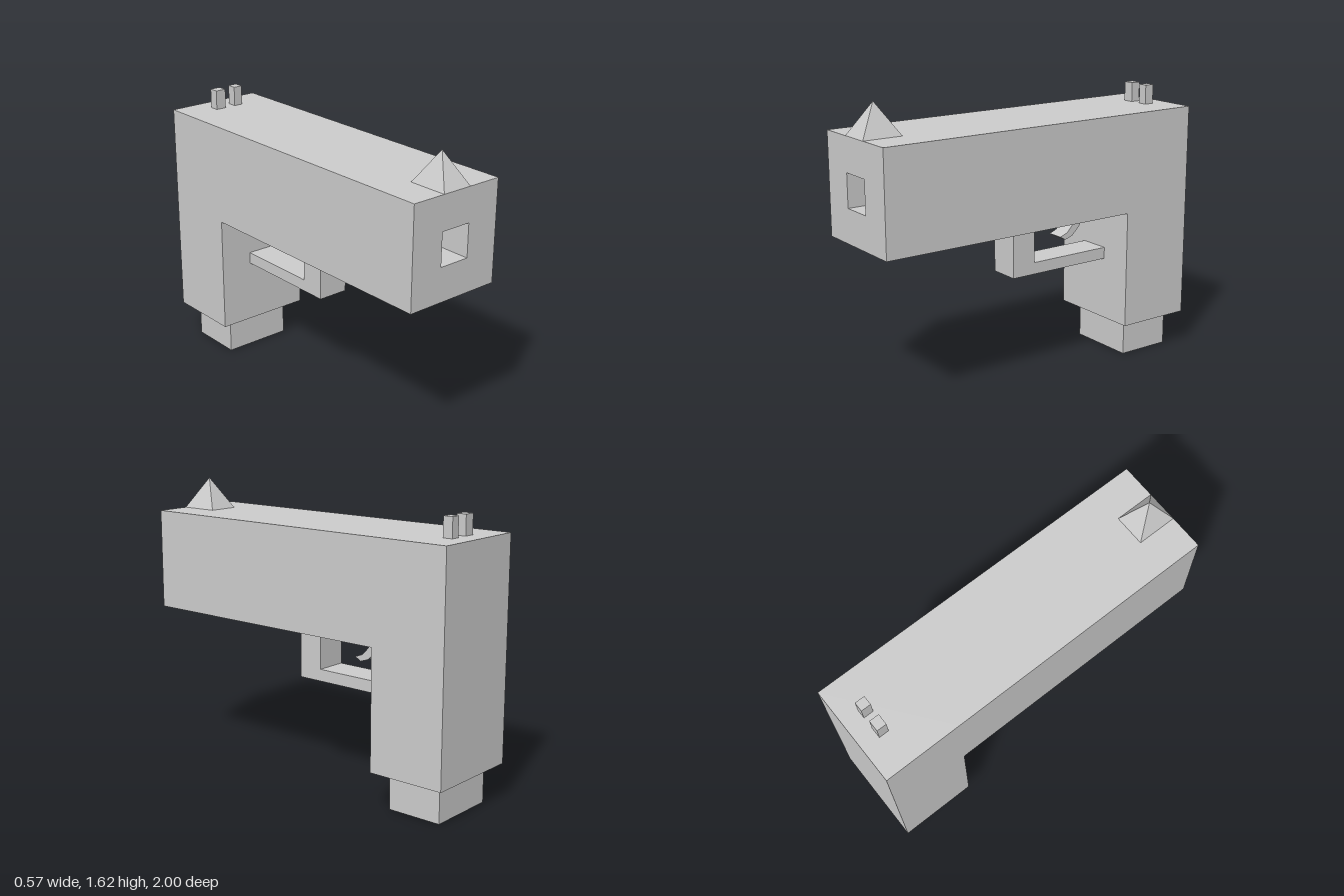
import * as THREE from 'three';

export function createModel() {
  const model = new THREE.Group();
  const material = new THREE.MeshStandardMaterial({ color: 0xcccccc, flatShading: true });

  const add = (name, geometry) => {
    const mesh = new THREE.Mesh(geometry, material);
    mesh.name = name;
    model.add(mesh);
    return mesh;
  };

  // Box given by its extents on each axis
  const box = (name, [x0, x1], [y0, y1], [z0, z1]) =>
    add(name, new THREE.BoxGeometry(x1 - x0, y1 - y0, z1 - z0))
      .position.set((x0 + x1) / 2, (y0 + y1) / 2, (z0 + z1) / 2);

  const outline = (points) => points.map(([a, b]) => new THREE.Vector2(a, b));

  // Side profile of [z, y] points, extruded across the width and centred on x
  const sideProfile = (name, points, width) => {
    const geometry = new THREE.ExtrudeGeometry(new THREE.Shape(outline(points)), {
      depth: width, bevelEnabled: false,
    });
    geometry.translate(0, 0, -width / 2).rotateY(-Math.PI / 2);
    return add(name, geometry);
  };

  const W = 0.285, TOP = 1.445, UNDER = 0.88, GRIP_FRONT = -0.555;

  // Barrel block with a square bore
  const rect = (x, y0, y1) => outline([[-x, y0], [x, y0], [x, y1], [-x, y1]]);
  const section = new THREE.Shape(rect(W, UNDER, TOP));
  section.holes.push(new THREE.Path(rect(0.09, 1.07, 1.255)));
  add('barrel', new THREE.ExtrudeGeometry(section, {
    depth: 1 - GRIP_FRONT, bevelEnabled: false,
  })).position.z = GRIP_FRONT;

  // Grip and the magazine below it
  box('grip', [-W, W], [0.21, TOP], [-1, GRIP_FRONT]);
  box('magazine', [-0.202, 0.202], [0, 0.21], [-0.937, -0.62]);

  // Trigger guard and curved trigger
  sideProfile('triggerGuard', [
    [0.095, UNDER], [0.095, 0.57], [GRIP_FRONT, 0.57],
    [GRIP_FRONT, 0.637], [-0.048, 0.637], [-0.048, UNDER],
  ], 0.18);
  sideProfile('trigger', [
    [-0.39, UNDER], [-0.348, 0.797], [-0.31, 0.757], [-0.262, 0.738],
    [-0.298, 0.717], [-0.348, 0.735], [-0.396, 0.782], [-0.444, UNDER],
  ], 0.1);

  // Pyramid front sight
  const pyramid = new THREE.ConeGeometry(Math.SQRT1_2, 1, 4);
  pyramid.rotateY(Math.PI / 4).scale(0.178, 0.175, 0.225);
  add('frontSight', pyramid).position.set(0, TOP + 0.0875, 0.8875);

  // Pair of rear sight posts
  box('rearSightRight', [-0.09, -0.027], [TOP, 1.555], [-0.898, -0.842]);
  box('rearSightLeft', [0.037, 0.09], [TOP, 1.555], [-0.898, -0.842]);

  return model;
}
